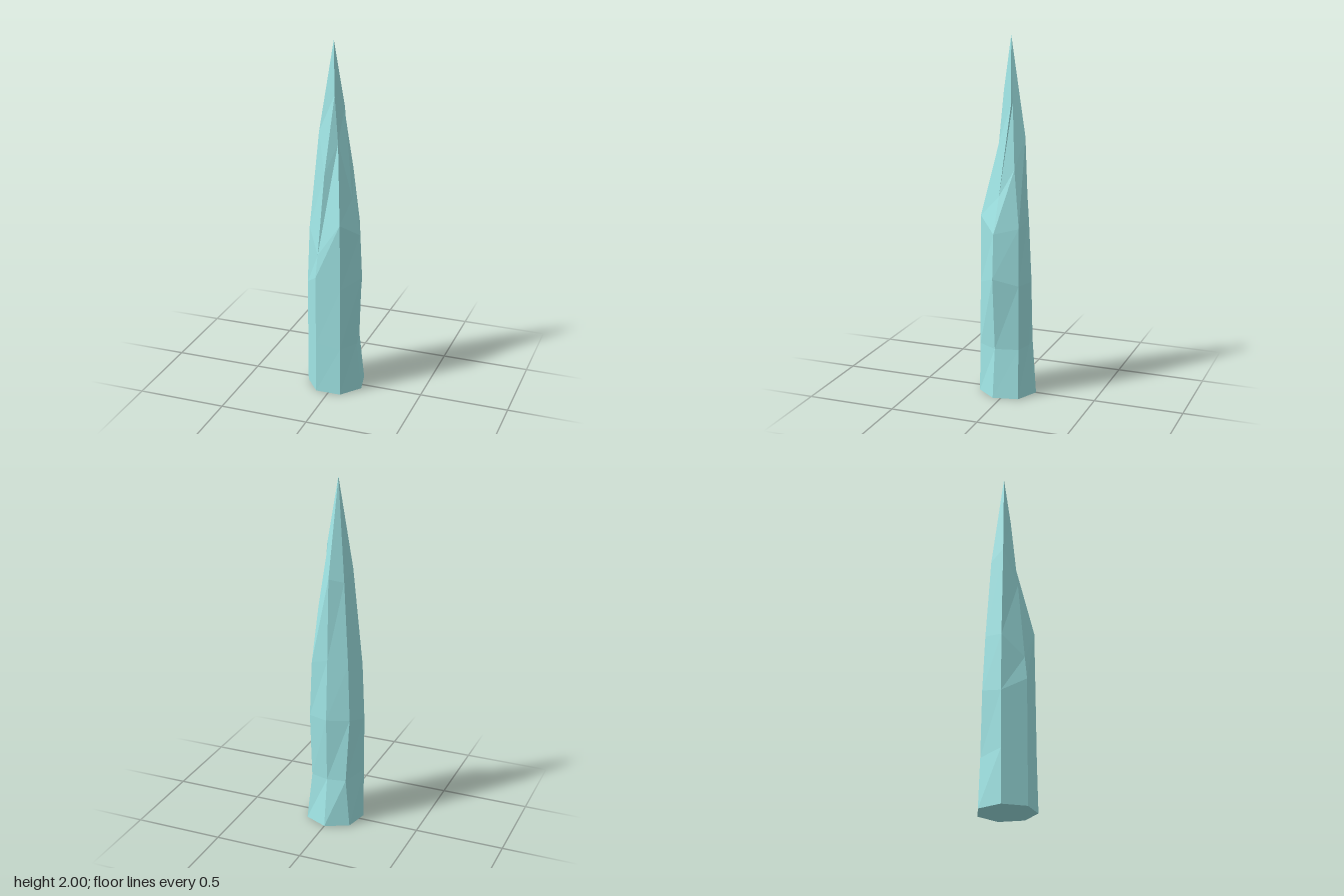
import * as THREE from 'three';

const APEX = [-0.02, 2, 0];

// Seven ridges of the crystal, each running from base to tip as [x, y, z]
const RIDGES = [
  [[0, 0, -0.157], [0, 0.28, -0.115], [0, 0.65, -0.126], [0, 1.0, -0.107], [0, 1.46, -0.089]],
  [[0.13, 0, -0.097], [0.102, 0.28, -0.088], [0.112, 0.65, -0.092], [0.1, 0.97, -0.088], [0.073, 1.29, -0.053]],
  [[0.16, 0, 0.043], [0.132, 0.28, 0.04], [0.16, 0.69, 0.043], [0.145, 0.94, 0.042], [0.096, 1.14, 0.028], [0.035, 1.64, -0.02]],
  [[0.071, 0, 0.155], [0.069, 0.28, 0.15], [0.069, 0.64, 0.147], [0.065, 1.02, 0.145], [0.021, 1.45, 0.048], [-0.003, 1.71, 0.035]],
  [[-0.072, 0, 0.155], [-0.072, 0.3, 0.155], [-0.072, 0.7, 0.155], [-0.064, 0.83, 0.14], [-0.041, 1.28, 0.093], [-0.003, 1.71, 0.035]],
  [[-0.161, 0, 0.043], [-0.161, 0.3, 0.043], [-0.161, 0.62, 0.043], [-0.148, 0.95, 0.04], [-0.095, 1.5, 0.027]],
  [[-0.13, 0, -0.097], [-0.106, 0.28, -0.097], [-0.122, 0.65, -0.082], [-0.108, 0.97, -0.072], [-0.076, 1.44, -0.053]],
];

// Ridges without their own upper point get one halfway to the tip
function completeRidge(points) {
  if (points.length === 6) return [...points, APEX];
  const last = points[4];
  return [...points, last.map((v, k) => (v + APEX[k]) / 2), APEX];
}

export function createModel() {
  const model = new THREE.Group();
  const ridges = RIDGES.map(completeRidge);
  const positions = [];
  const tri = (a, b, c) => positions.push(...a, ...b, ...c);

  ridges.forEach((a, i) => {
    const b = ridges[(i + 1) % ridges.length];
    // facets between neighbouring ridges
    for (let r = 0; r < 5; r++) {
      tri(b[r], a[r], a[r + 1]);
      if (b[r + 1] !== a[r + 1]) tri(b[r], a[r + 1], b[r + 1]);
    }
    // pointed tip
    tri(b[5], a[5], APEX);
    // flat underside
    tri([0, 0, 0], a[0], b[0]);
  });

  const geometry = new THREE.BufferGeometry();
  geometry.setAttribute('position', new THREE.Float32BufferAttribute(positions, 3));
  geometry.computeVertexNormals();

  const crystal = new THREE.Mesh(
    geometry,
    new THREE.MeshStandardMaterial({ color: 0xa0e6e6, flatShading: true })
  );
  crystal.name = 'crystalShard';
  model.add(crystal);
  return model;
}
